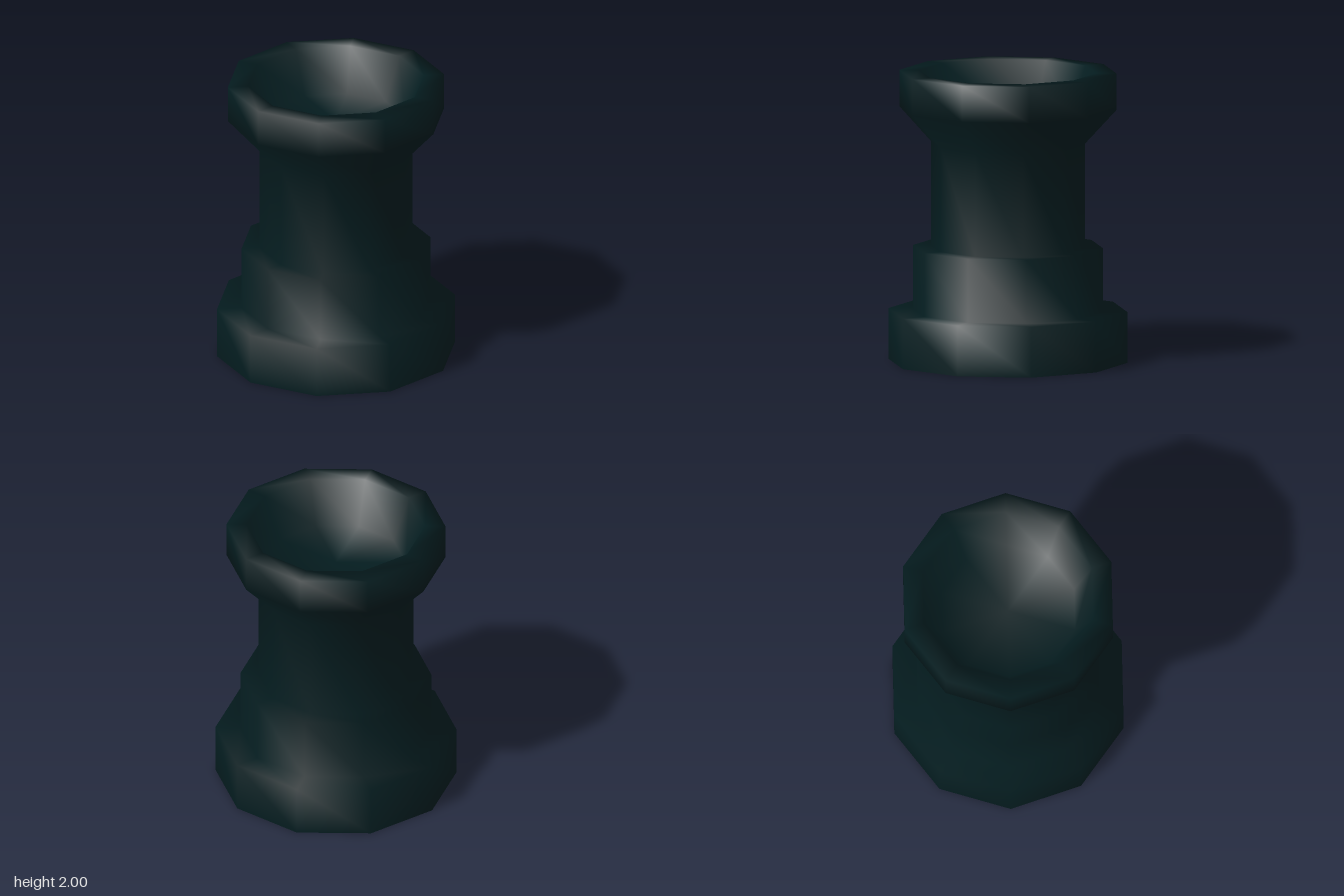
import * as THREE from 'three';
import { mergeVertices } from 'three/addons/utils/BufferGeometryUtils.js';

const SIDES = 10;

// Ten-sided turned shell with normals smoothed across every edge
function turned(profile) {
  const lathe = new THREE.LatheGeometry(profile.map(([r, y]) => new THREE.Vector2(r, y)), SIDES);
  lathe.deleteAttribute('uv');
  lathe.deleteAttribute('normal');
  const geometry = mergeVertices(lathe, 1e-4);
  geometry.computeVertexNormals();
  return geometry;
}

export function createModel() {
  const group = new THREE.Group();
  group.name = 'towerPiece';

  // The shell is hollow and open underneath, so both faces show
  const darkTeal = new THREE.MeshStandardMaterial({ color: 0x041c1f, side: THREE.DoubleSide });
  darkTeal.name = 'darkTeal';

  const profile = [
    [0.825, 0], [0.825, 0.35],             // foot, open below
    [0.655, 0.35], [0.655, 0.79],          // middle tier
    [0.53, 0.79], [0.53, 1.51],            // shaft
    [0.75, 1.75], [0.75, 2],               // flared head
    [0.61, 2], [0.48, 1.7], [0, 1.7],      // rim and sunken cup
  ];
  const body = new THREE.Mesh(turned(profile), darkTeal);
  body.name = 'towerBody';
  group.add(body);

  return group;
}
